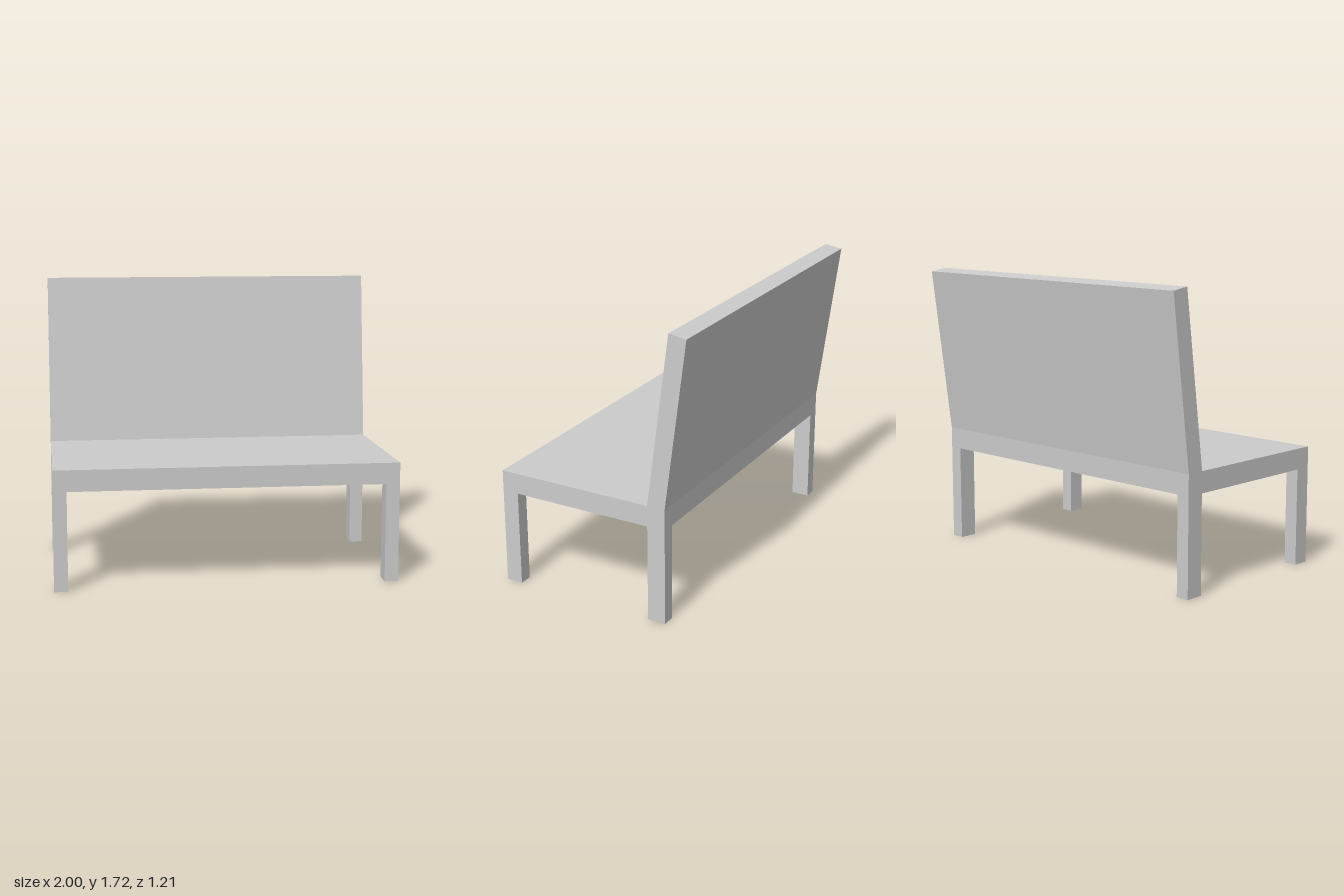
import * as THREE from 'three';

const material = new THREE.MeshStandardMaterial({ color: 0xcccccc, flatShading: true });

// Box given by its min and max corners
function box(name, [x0, y0, z0], [x1, y1, z1]) {
  const mesh = new THREE.Mesh(new THREE.BoxGeometry(x1 - x0, y1 - y0, z1 - z0), material);
  mesh.position.set((x0 + x1) / 2, (y0 + y1) / 2, (z0 + z1) / 2);
  mesh.name = name;
  return mesh;
}

export function createModel() {
  const bench = new THREE.Group();
  bench.name = 'bench';

  const halfWidth = 1, legWidth = 0.08;
  const seatBottom = 0.58, seatTop = 0.705;
  const front = 0.603, back = -0.47;

  // Seat slab
  bench.add(box('seat', [-halfWidth, seatBottom, back], [halfWidth, seatTop, front]));

  // Four legs, mirrored left and right
  for (const [side, label] of [[1, 'Left'], [-1, 'Right']]) {
    const inner = side * (halfWidth - legWidth), outer = side * halfWidth;
    const x0 = Math.min(inner, outer), x1 = Math.max(inner, outer);
    bench.add(box('front' + label + 'Leg', [x0, 0, 0.503], [x1, seatBottom, front]));
    bench.add(box('back' + label + 'Leg', [x0, 0, back], [x1, seatBottom, -0.36]));
  }

  // Reclined backrest: (z, y) profile extruded across the width
  const profile = new THREE.Shape([
    new THREE.Vector2(-0.36, seatTop),
    new THREE.Vector2(-0.496, 1.718),
    new THREE.Vector2(-0.603, 1.702),
    new THREE.Vector2(back, seatTop),
  ]);
  const geometry = new THREE.ExtrudeGeometry(profile, { depth: 2 * halfWidth, bevelEnabled: false });
  geometry.rotateY(-Math.PI / 2).translate(halfWidth, 0, 0);
  const backrest = new THREE.Mesh(geometry, material);
  backrest.name = 'backrest';
  bench.add(backrest);

  return bench;
}
